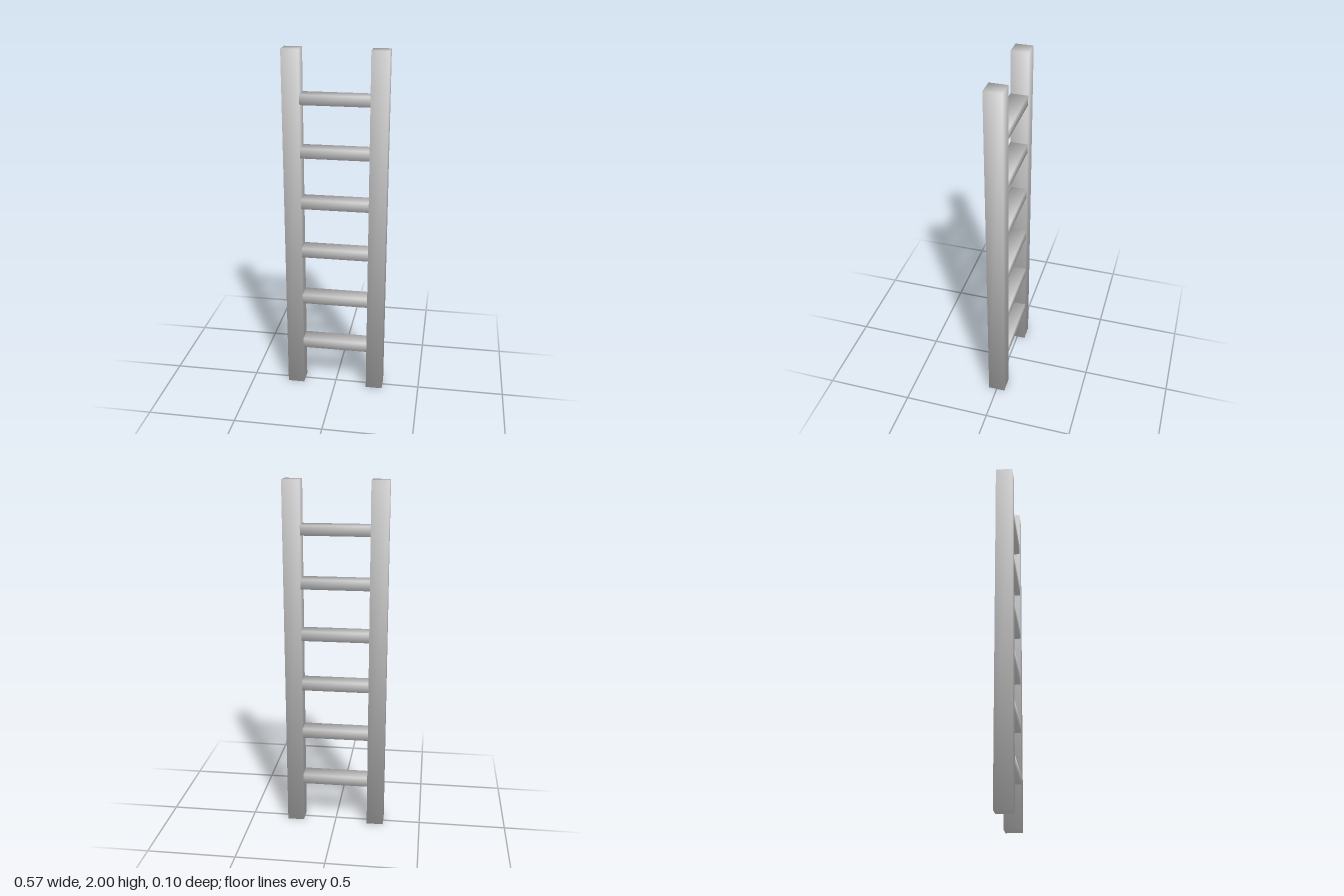
import * as THREE from 'three';

const material = new THREE.MeshStandardMaterial({ color: 0xcccccc });

// Box whose corner normals are averaged, giving soft shading across its edges
function softBox(name, width, height, depth, x, y) {
  const geometry = new THREE.BoxGeometry(width, height, depth);
  const position = geometry.attributes.position;
  const normal = new THREE.Vector3();
  for (let i = 0; i < position.count; i++) {
    normal.fromBufferAttribute(position, i);
    normal.set(Math.sign(normal.x), Math.sign(normal.y), Math.sign(normal.z)).normalize();
    geometry.attributes.normal.setXYZ(i, normal.x, normal.y, normal.z);
  }
  const mesh = new THREE.Mesh(geometry, material);
  mesh.name = name;
  mesh.position.set(x, y, 0);
  return mesh;
}

export function createModel() {
  const ladder = new THREE.Group();
  ladder.name = 'ladder';
  const depth = 0.097;
  const railWidth = 0.096;
  const railX = 0.237;

  // Two upright rails
  ladder.add(softBox('leftRail', railWidth, 2, depth, railX, 1));
  ladder.add(softBox('rightRail', railWidth, 2, depth, -railX, 1));

  // Six evenly spaced flat rungs between the rails
  for (let i = 0; i < 6; i++) {
    ladder.add(softBox(`rung${i + 1}`, 2 * railX - railWidth, 0.055, depth, 0, 0.27 + i * 0.293));
  }
  return ladder;
}
